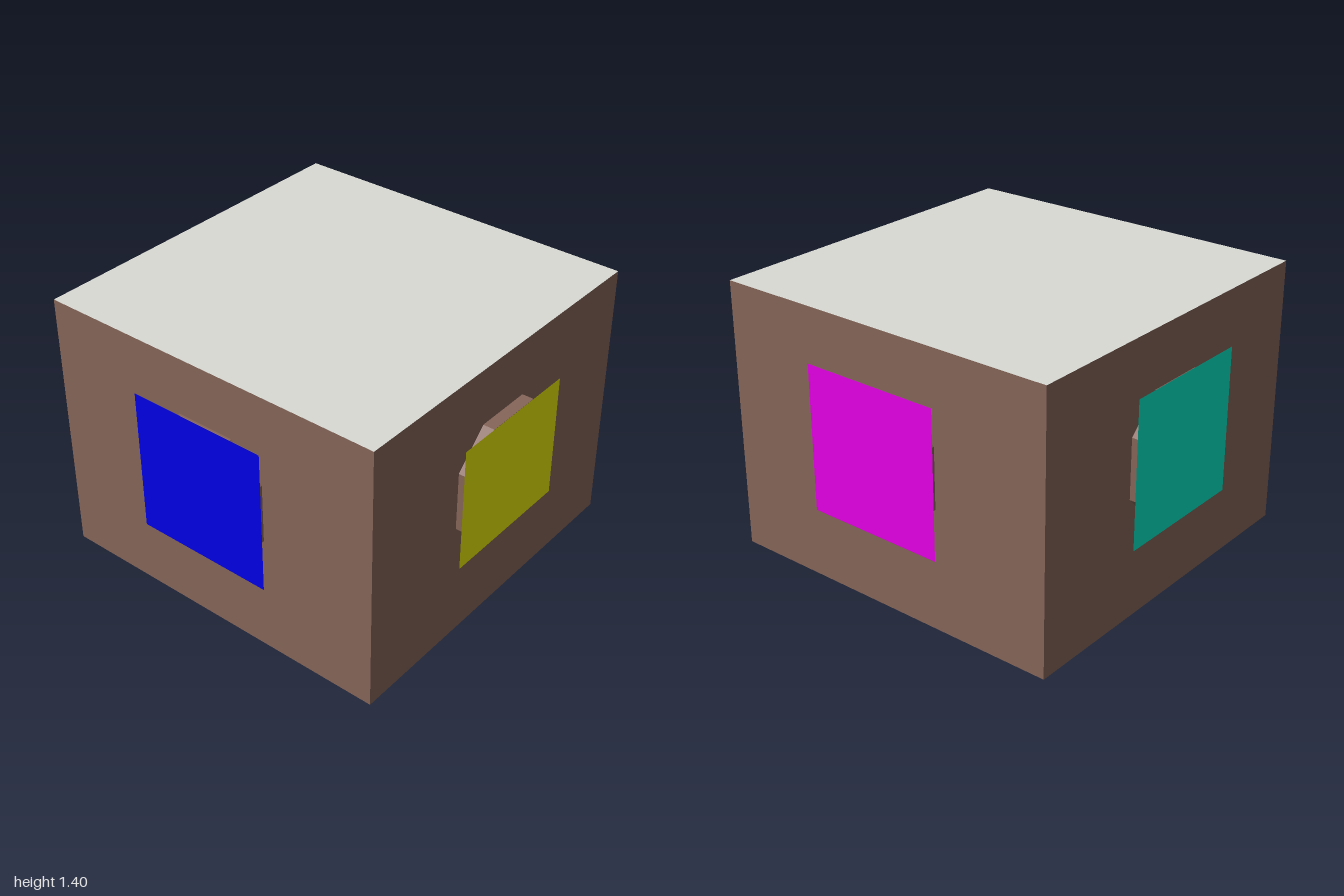
import * as THREE from 'three';

const flat = (name, color) => new THREE.MeshStandardMaterial({ name, color });

export function createModel() {
  const model = new THREE.Group();
  model.name = 'room';

  const brown = flat('brown wall', 0x87665a);
  const grey = flat('pale grey', 0xdadbd5);
  const yellow = flat('yellow', 0xffff00);
  const magenta = flat('magenta', 0xff00ff);
  const teal = flat('teal', 0x00ffdc);
  const blue = flat('blue', 0x0000ff);
  for (const m of [yellow, magenta, teal, blue]) m.side = THREE.DoubleSide;

  const HALF = 0.938, HEIGHT = 1.405, SLAB = 0.11, MID = 0.783;
  const HATCH = 0.155, RADIUS = 0.326; // octagon: half flat side, half width

  const add = (parent, name, geometry, material) => {
    const mesh = new THREE.Mesh(geometry, material);
    mesh.name = name;
    parent.add(mesh);
    return mesh;
  };
  const square = (Type, h) =>
    new Type([[-h, -h], [h, -h], [h, h], [-h, h]].map(([x, y]) => new THREE.Vector2(x, y)));

  // Main block: brown walls and hatch ceiling, grey top
  add(model, 'roomBlock', new THREE.BoxGeometry(2 * HALF, HEIGHT - SLAB, 2 * HALF),
    [brown, brown, grey, brown, brown, brown]).position.y = (HEIGHT + SLAB) / 2;

  // Floor slab with a square hatch opening underneath
  const floor = square(THREE.Shape, HALF);
  floor.holes.push(square(THREE.Path, HATCH));
  const slab = new THREE.ExtrudeGeometry(floor, { depth: SLAB, bevelEnabled: false });
  slab.rotateX(-Math.PI / 2);
  add(model, 'floorSlab', slab, [grey, brown]);

  // Octagonal door collar
  const a = HATCH, r = RADIUS;
  const octagon = new THREE.Shape(
    [[a, -r], [r, -a], [r, a], [a, r], [-a, r], [-r, a], [-r, -a], [-a, -r]]
      .map(([x, y]) => new THREE.Vector2(x, y)));
  const collar = new THREE.ExtrudeGeometry(octagon, { depth: 0.998 - 0.9, bevelEnabled: false });
  collar.translate(0, MID, 0.9);

  // One collar and coloured door panel per wall
  const doors = [
    ['front', 0, yellow, 0.655],
    ['left', Math.PI / 2, magenta, 0.75],
    ['back', Math.PI, teal, 0.75],
    ['right', -Math.PI / 2, blue, 0.75],
  ];
  for (const [side, turn, material, height] of doors) {
    const door = new THREE.Group();
    door.name = side + 'Door';
    door.rotation.y = turn;
    add(door, side + 'Collar', collar, brown);
    add(door, side + 'Panel', new THREE.PlaneGeometry(0.745, height), material)
      .position.set(0, MID, 1);
    model.add(door);
  }
  return model;
}
